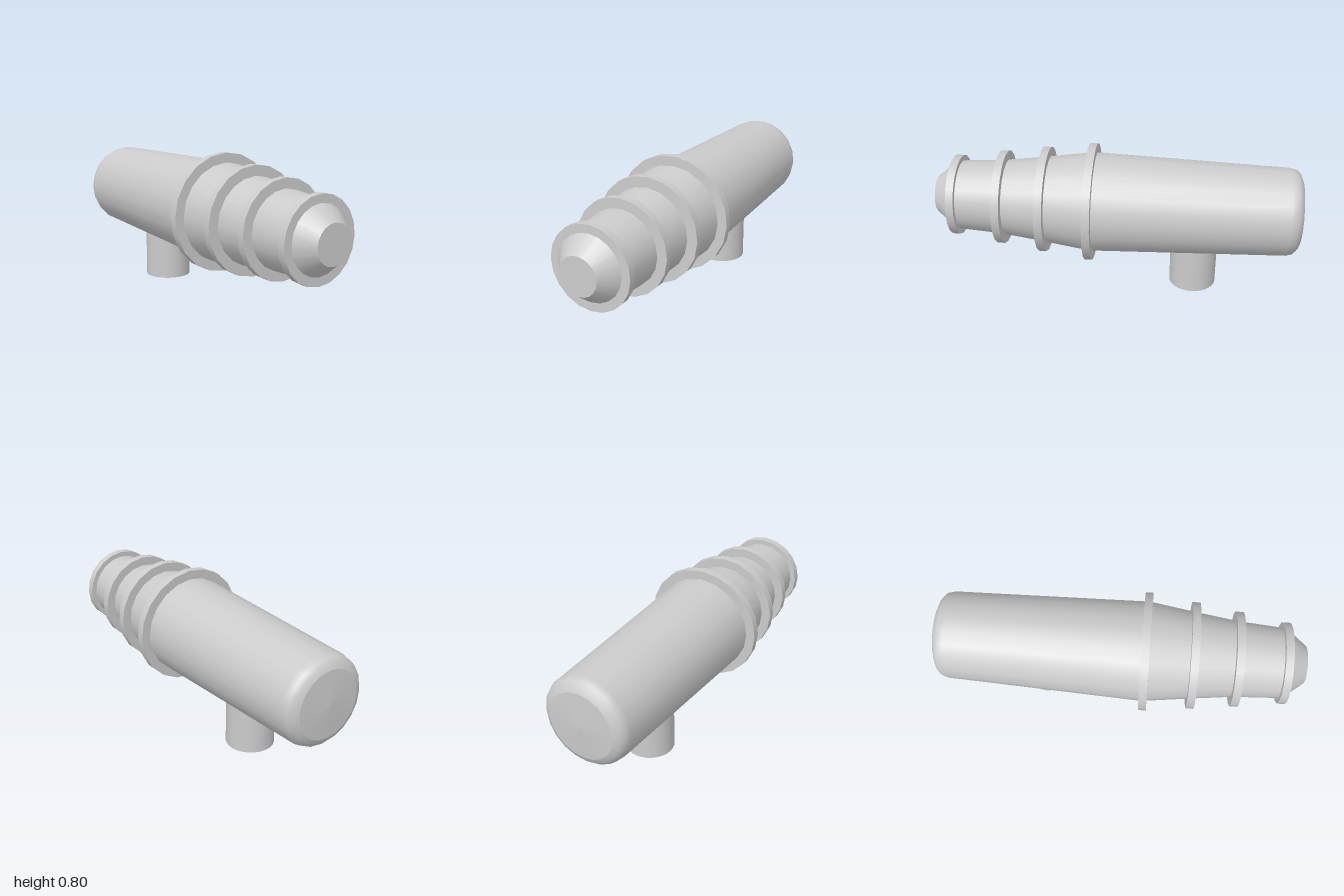
import * as THREE from 'three';

const SIDES = 20;
const AXIS_Y = 0.473;

export function createModel() {
  const model = new THREE.Group();
  model.name = 'bodyOnPost';
  const material = new THREE.MeshStandardMaterial({ color: 0xcccccc });

  // Everything along the z axis shares one group, rolled very slightly
  const barrel = new THREE.Group();
  barrel.name = 'barrel';
  barrel.position.y = AXIS_Y;
  barrel.rotation.z = -0.02;
  model.add(barrel);

  const add = (name, geometry, parent) => {
    const mesh = new THREE.Mesh(geometry, material);
    mesh.name = name;
    parent.add(mesh);
    return mesh;
  };

  // Tapered section from z0 (radius r0) forward to z1 (radius r1)
  const section = (name, z0, r0, z1, r1, open = true) => {
    const g = new THREE.CylinderGeometry(r1, r0, z1 - z0, SIDES, 1, open);
    g.rotateX(Math.PI / 2);
    const mesh = add(name, g, barrel);
    mesh.position.z = (z0 + z1) / 2;
    return mesh;
  };

  // Lathe around the z axis; the profile lists [radius, z] from back to front
  const lathe = (name, profile) => {
    const g = new THREE.LatheGeometry(profile.map(([r, z]) => new THREE.Vector2(r, z)), SIDES);
    g.rotateX(Math.PI / 2);
    return add(name, g, barrel);
  };

  // Long rear body with its rounded shoulder, and the nearly flat back
  lathe('rearBody', [
    [0.18, -0.987], [0.207, -0.975], [0.228, -0.955], [0.238, -0.92], [0.272, 0.14],
  ]);
  lathe('backCap', [[0, -0.998], [0.18, -0.987]]);

  // Stepped taper towards the front
  const steps = [[0.14, 0.272], [0.395, 0.236], [0.63, 0.206], [0.885, 0.19]];
  for (let i = 0; i < steps.length - 1; i++) {
    section('frontTaper' + (i + 1), ...steps[i], ...steps[i + 1]);
  }
  section('nose', 0.885, 0.192, 0.997, 0.103, false).rotation.y = 0.016;

  // Thin collars at each step, tilted a touch
  const collarRadii = [0.322, 0.29, 0.258, 0.221];
  steps.forEach(([z], i) => {
    const r = collarRadii[i];
    const collar = section('collar' + (i + 1), z - 0.021, r, z + 0.021, r, false);
    collar.rotation.set(-0.014, 0.016, 0);
  });

  // Round post below the rear body, running up into it
  const post = add('post', new THREE.CylinderGeometry(0.129, 0.129, 0.34, 48), model);
  post.position.set(0, 0.17, -0.43);

  return model;
}
